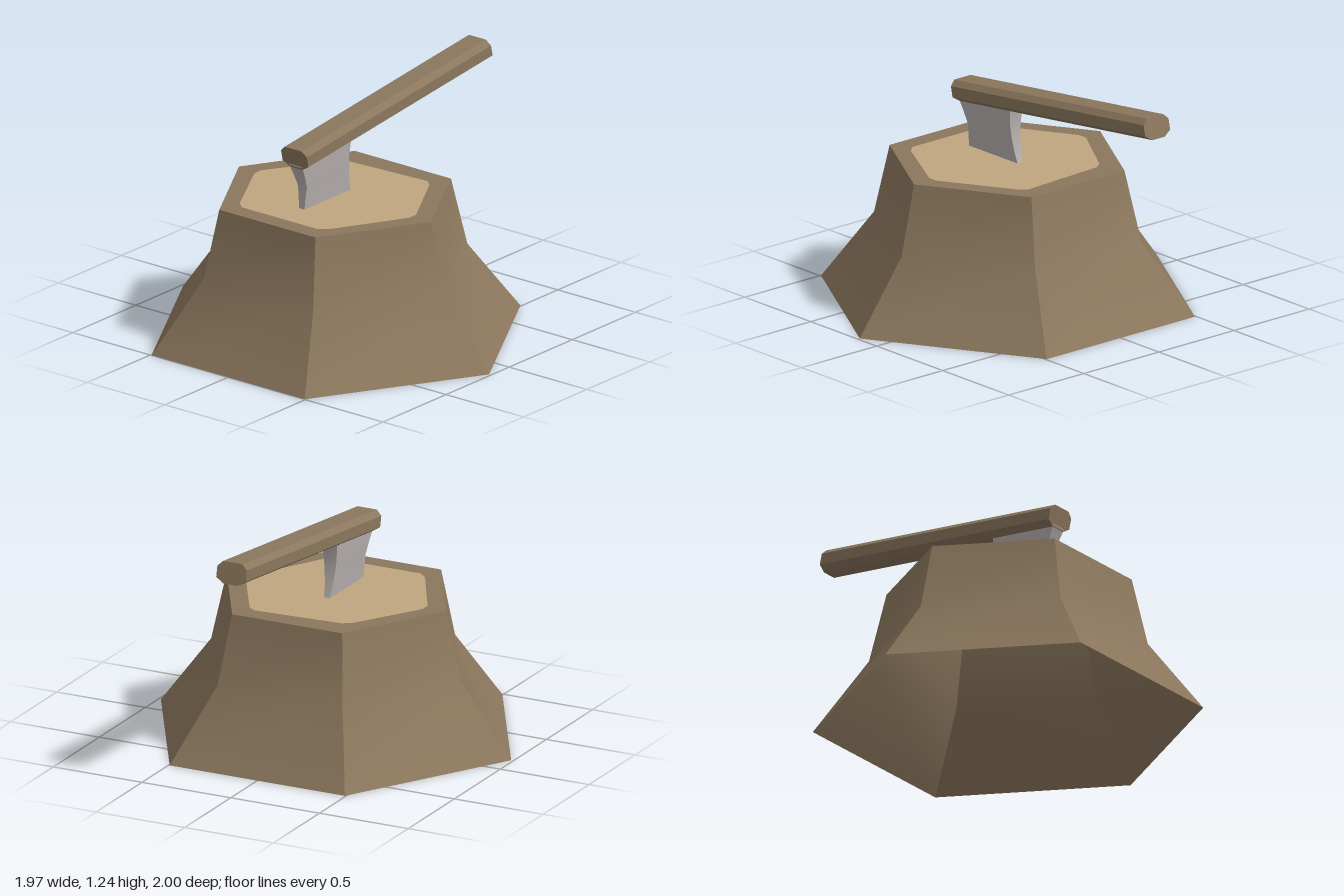
import * as THREE from 'three';
import { mergeGeometries } from 'three/addons/utils/BufferGeometryUtils.js';

const bark = new THREE.MeshStandardMaterial({ color: 0x8b775d, side: THREE.DoubleSide });
bark.name = 'bark brown';
const cutWood = new THREE.MeshStandardMaterial({ color: 0xc0a680, side: THREE.DoubleSide });
cutWood.name = 'cut wood tan';
const steel = new THREE.MeshStandardMaterial({ color: 0xb6b0ae });
steel.name = 'steel grey';

// Moves every vertex of a geometry by a rule and refreshes the normals
function reshape(geometry, rule) {
  const p = geometry.attributes.position;
  for (let i = 0; i < p.count; i++) p.setXYZ(i, ...rule(p.getX(i), p.getY(i), p.getZ(i)));
  geometry.computeVertexNormals();
  return geometry;
}

function addPart(group, name, geometry, material) {
  const mesh = new THREE.Mesh(geometry, material);
  mesh.name = name;
  group.add(mesh);
}

// Stump rings from bottom to top: height, radius, centre z
const rings = [[0, 0.987, 0.143], [0.37, 0.705, 0.146], [0.73, 0.62, 0.15]];

// Six flared sides, smooth up and down but creased at the corners
function stumpSides() {
  const sides = [];
  for (let k = 0; k < 6; k++) {
    sides.push(reshape(new THREE.PlaneGeometry(1, 1, 1, 2), (u, v) => {
      const [y, r, cz] = rings[Math.round((v + 0.5) * 2)];
      const a = (k + u) * Math.PI / 3;
      return [r * Math.sin(a), y, cz + r * Math.cos(a)];
    }));
  }
  return mergeGeometries(sides);
}

// Flat top pieces, drawn as x and z outlines
function flatTop(outline, hole) {
  const toPoints = list => list.map(([x, z]) => new THREE.Vector2(x, -z));
  const shape = new THREE.Shape(toPoints(outline));
  if (hole) shape.holes.push(new THREE.Path(toPoints(hole)));
  return new THREE.ShapeGeometry(shape).rotateX(-Math.PI / 2).translate(0, 0.73, 0);
}

export function createModel() {
  const model = new THREE.Group();
  model.name = 'axeInStump';

  // Stump, open underneath
  const stump = new THREE.Group();
  stump.name = 'stump';
  model.add(stump);
  const rim = [];
  for (let k = 0; k < 6; k++) {
    const a = (k + 0.5) * Math.PI / 3;
    rim.push([0.62 * Math.sin(a), 0.15 + 0.62 * Math.cos(a)]);
  }
  const heart = [
    [-0.5, 0.12], [-0.5, 0.175], [-0.29, 0.55], [-0.245, 0.588], [0.245, 0.588], [0.29, 0.55],
    [0.497, 0.175], [0.497, 0.12], [0.28, -0.255], [0.24, -0.285], [-0.24, -0.255], [-0.285, -0.225],
  ];
  addPart(stump, 'barkSides', stumpSides(), bark);
  addPart(stump, 'barkRim', flatTop(rim, heart), bark);
  addPart(stump, 'cutTop', flatTop(heart), cutWood);

  const axe = new THREE.Group();
  axe.name = 'axe';
  model.add(axe);

  // Eight-sided handle with slanted ends, rising to the back
  const section = new THREE.Shape([
    [-0.04, -0.055], [0.04, -0.055], [0.083, -0.028], [0.083, 0.028],
    [0.054, 0.055], [-0.054, 0.055], [-0.083, 0.028], [-0.083, -0.028],
  ].map(([x, y]) => new THREE.Vector2(x, y)));
  const handle = new THREE.ExtrudeGeometry(section, { depth: 1, bevelEnabled: false });
  addPart(axe, 'handle', reshape(handle,
    (x, v, s) => [x + 0.002, 1.185 - 0.17 * s + v, -0.9873 + 1.46 * s + 0.23 * v]), bark);

  // Blade rows from bottom to top: front y, front z, back y, back z, half thickness
  const rows = [
    [0.72, 0.416, 0.72, 0.046, 0.016],
    [0.79, 0.415, 0.79, 0.068, 0.022],
    [0.85, 0.411, 0.86, 0.08, 0.029],
    [0.91, 0.435, 0.93, 0.085, 0.036],
    [0.975, 0.465, 1.02, 0.075, 0.043],
  ];
  const blade = new THREE.BoxGeometry(2, 1, 1, 1, 4, 1);
  addPart(axe, 'blade', reshape(blade, (x, y, z) => {
    const [fy, fz, by, bz, half] = rows[Math.round((y + 0.5) * 4)];
    return [x * half + 0.002, z > 0 ? fy : by, z > 0 ? fz : bz];
  }), steel);

  return model;
}
